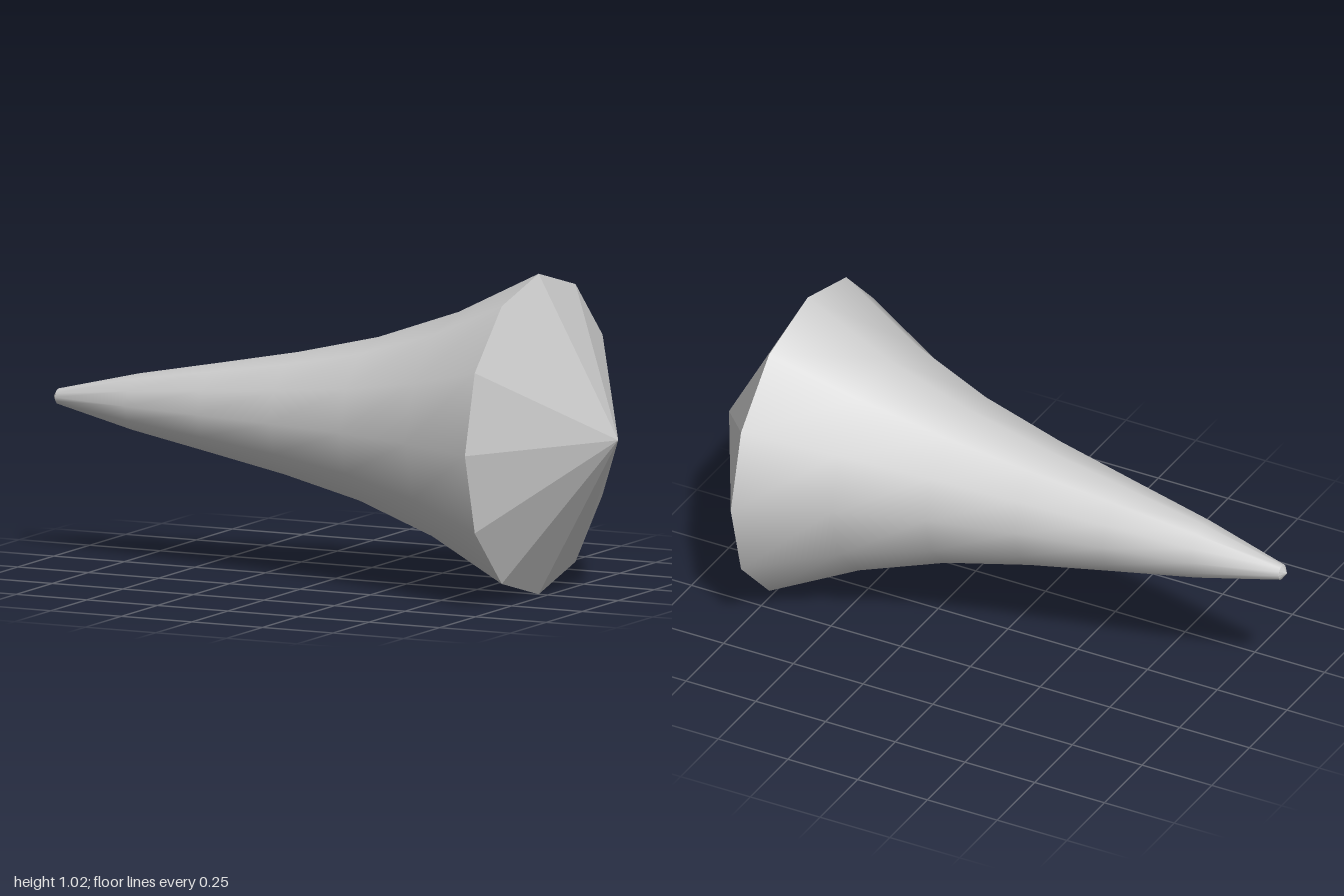
import * as THREE from 'three';

const SIDES = 12;
const RIM = 0.512; // rim radius, also the height of the axis

export function createModel() {
  const model = new THREE.Group();
  model.name = 'flaredHorn';
  const smooth = new THREE.MeshStandardMaterial({ color: 0xcccccc });
  const faceted = new THREE.MeshStandardMaterial({ color: 0xcccccc, flatShading: true });

  function add(name, geometry, material) {
    const mesh = new THREE.Mesh(geometry, material);
    mesh.name = name;
    mesh.position.y = RIM;
    model.add(mesh);
  }

  // Cone along x, with its base at baseX and its point at apexX
  function endCone(radius, baseX, apexX) {
    const length = Math.abs(apexX - baseX);
    return new THREE.ConeGeometry(radius, length, SIDES, 1, true)
      .rotateZ(apexX > baseX ? -Math.PI / 2 : Math.PI / 2)
      .translate((baseX + apexX) / 2, 0, 0);
  }

  // Smooth flared body: evenly spaced rings from the narrow end to the rim
  const radii = [0.025, 0.093, 0.147, 0.202, 0.27, 0.37, RIM];
  const start = -0.983, end = 0.718;
  const profile = radii.map((r, i) =>
    new THREE.Vector2(r, start + (end - start) * i / (radii.length - 1)));
  add('body', new THREE.LatheGeometry(profile, SIDES).rotateZ(-Math.PI / 2), smooth);

  // Faceted point closing the wide end, and the tiny one at the narrow end
  add('wideEnd', endCone(RIM, end, 1), faceted);
  add('narrowTip', endCone(0.025, start, -1), faceted);

  return model;
}
